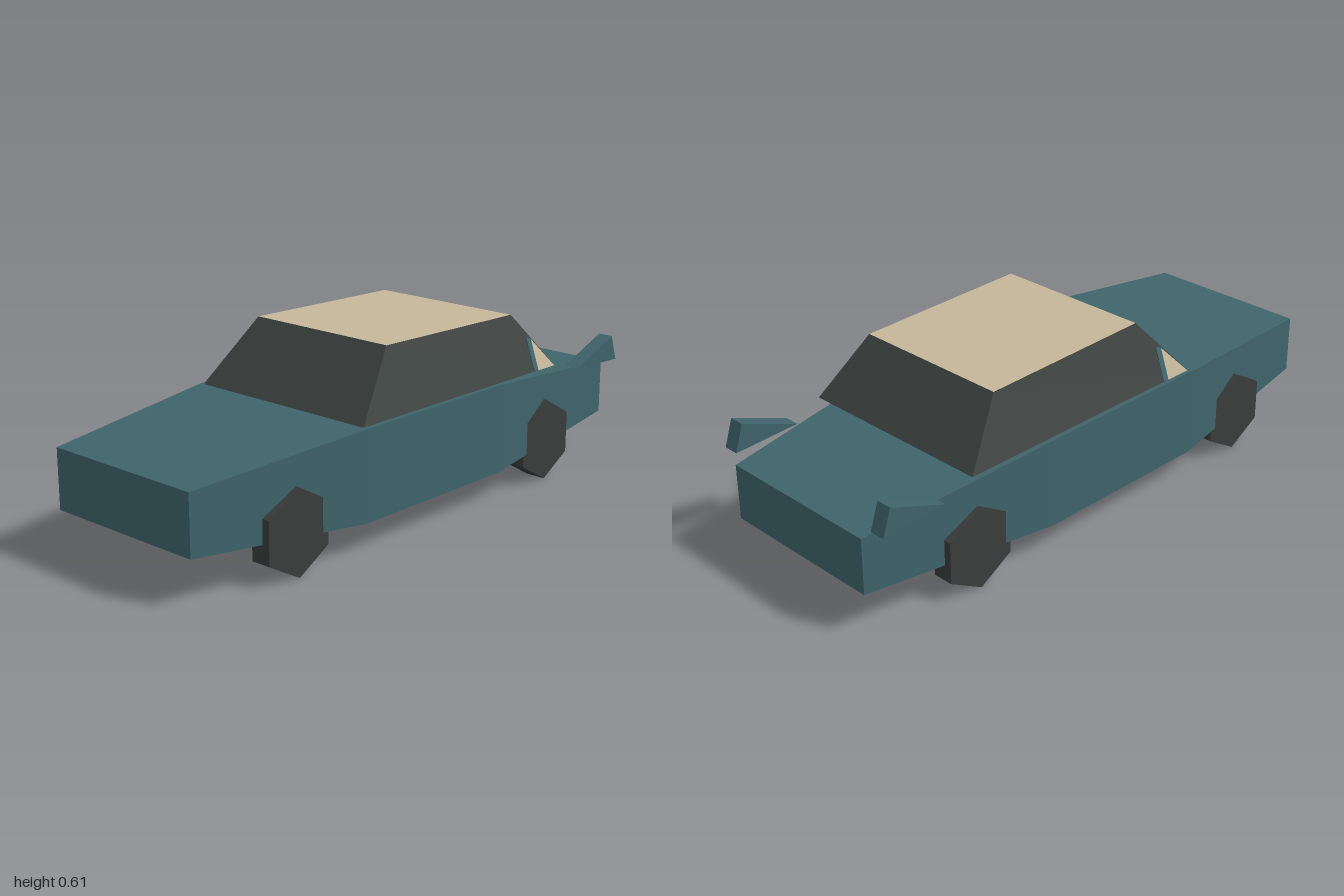
import * as THREE from 'three';

const material = (name, color) => new THREE.MeshStandardMaterial({ name, color });

// Faceted solid through rings of points; each ring runs counter-clockwise seen from the first end.
// Group 0 is the first cap, group 1 everything else.
function loft(rings) {
  const pos = [];
  const face = (...p) => {
    for (let i = 1; i < p.length - 1; i++) pos.push(...p[0], ...p[i], ...p[i + 1]);
  };
  face(...rings[0]);
  const capCount = pos.length / 3;
  for (let r = 0; r < rings.length - 1; r++) {
    const a = rings[r], b = rings[r + 1];
    a.forEach((_, i) => {
      const j = (i + 1) % a.length;
      face(a[i], b[i], b[j], a[j]);
    });
  }
  face(...[...rings.at(-1)].reverse());
  const g = new THREE.BufferGeometry();
  g.setAttribute('position', new THREE.Float32BufferAttribute(pos, 3));
  g.addGroup(0, capCount, 0);
  g.addGroup(capCount, pos.length / 3 - capCount, 1);
  g.computeVertexNormals();
  return g;
}

export function createModel() {
  const model = new THREE.Group();
  model.name = 'car';
  const teal = material('teal paint', 0x3f646b);
  const glass = material('dark glass', 0x3c4240);
  const tan = material('tan roof', 0xc6b799);
  const rubber = material('tyre rubber', 0x393d3c);

  const add = (name, geometry, mat) => {
    const mesh = new THREE.Mesh(geometry, mat);
    mesh.name = name;
    model.add(mesh);
    return mesh;
  };

  // Body: sections from nose to tail as [z, half width, bottom, top]
  const sections = [
    [1, 0.295, 0.155, 0.355], [0.35, 0.372, 0.1, 0.403],
    [-0.3, 0.372, 0.1, 0.403], [-1, 0.295, 0.145, 0.335],
  ];
  add('body', loft(sections.map(([z, w, lo, hi]) =>
    [[-w, lo, z], [w, lo, z], [w, hi, z], [-w, hi, z]])), teal);

  // Cabin: dark windows below a tan roof
  const cabinRing = (w, zFront, yFront, zBack, yBack) =>
    [[-w, yFront, zFront], [w, yFront, zFront], [w, yBack, zBack], [-w, yBack, zBack]];
  add('cabin', loft([
    cabinRing(0.283, 0.165, 0.612, -0.465, 0.598),
    cabinRing(0.356, 0.35, 0.404, -0.625, 0.404),
  ]), [tan, glass]);

  // Thin corner panels on the sloping cabin sides, left rear and right front
  const panel = (name, side, points, mat) => {
    const ring = (offset) => points.map(([z, y]) =>
      [side * (0.356 - 0.073 * (y - 0.404) / 0.205 + offset), y, z]);
    add(name, loft([ring(0.003), ring(-0.002)]), mat);
  };
  for (const [side, z0, z1, z2] of [[1, -0.508, -0.53, -0.62], [-1, 0.228, 0.25, 0.346]]) {
    panel('cornerTrim', side, [[z0, 0.408], [z1, 0.405], [z1, 0.51], [z0, 0.515]], teal);
    panel('cornerPanel', side, [[z1, 0.405], [z2, 0.405], [z1, 0.508]], tan);
  }

  // Wedge fins beside the tail
  for (const [name, xHigh, xLow] of [['leftFin', 0.37, 0.316], ['rightFin', -0.316, -0.37]]) {
    const ring = (x) => [[x, 0.37, -0.745], [x, 0.359, -0.98], [x, 0.449, -0.95]];
    add(name, loft([ring(xHigh), ring(xLow)]), teal);
  }

  // Six-sided wheels, point up
  const wheel = new THREE.CylinderGeometry(0.143, 0.143, 0.071, 6).toNonIndexed();
  wheel.rotateZ(Math.PI / 2);
  // turn a corner to the top
  const top = new THREE.Vector3().fromBufferAttribute(wheel.attributes.position, 0);
  wheel.rotateX(Math.PI / 2 - Math.atan2(top.y, top.z) === 0 ? 0 : Math.atan2(top.y, top.z) - Math.PI / 2);
  wheel.computeVertexNormals();
  for (const [end, z] of [['front', 0.625], ['rear', -0.592]]) {
    for (const [side, x] of [['Left', 0.316], ['Right', -0.316]]) {
      add(`${end}${side}Wheel`, wheel, rubber).position.set(x, 0.143, z);
    }
  }
  return model;
}
